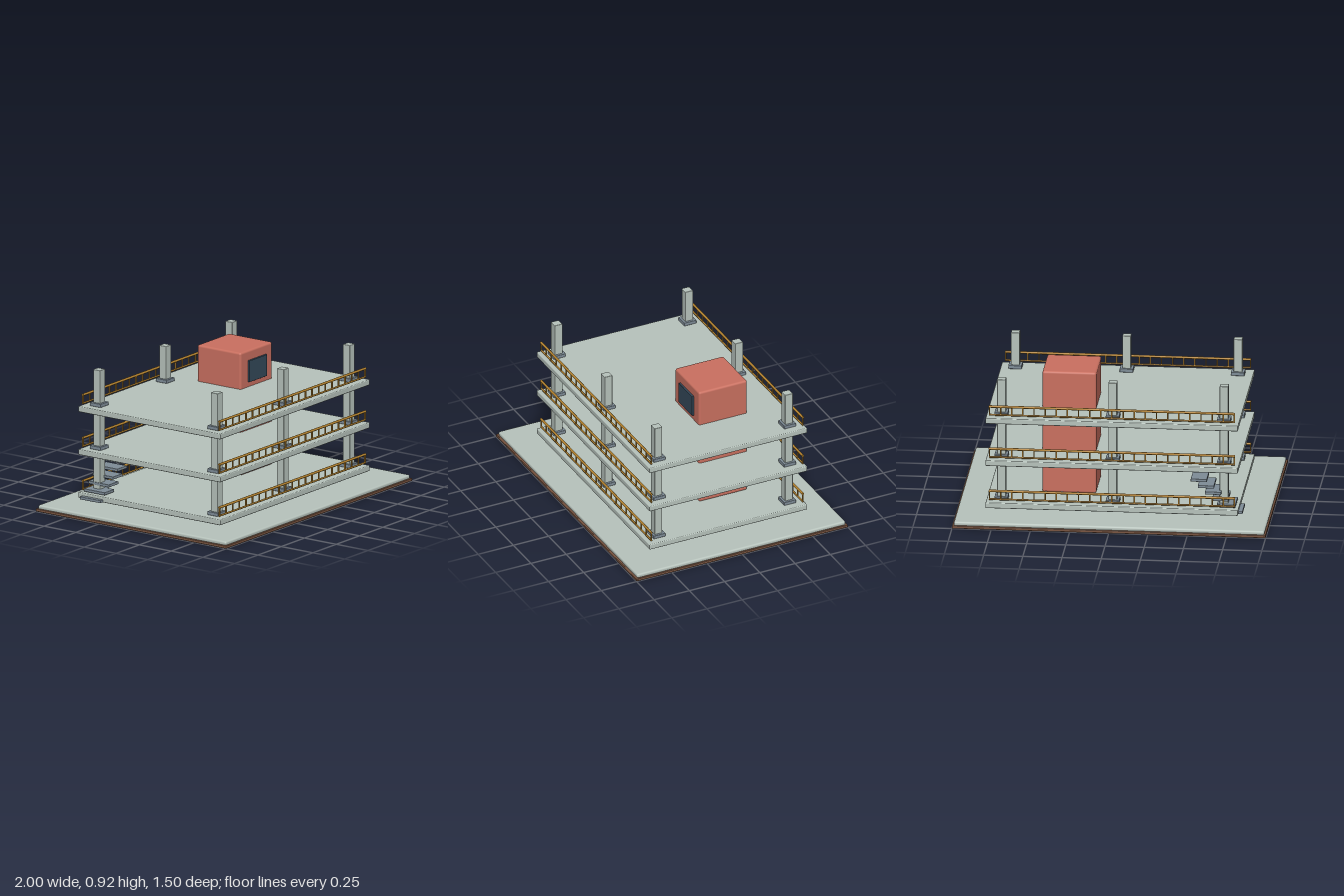
import * as THREE from 'three';
import { RoundedBoxGeometry } from 'three/addons/geometries/RoundedBoxGeometry.js';

function mat(name, color) {
  const m = new THREE.MeshStandardMaterial({ color });
  m.name = name;
  return m;
}

export function createModel() {
  const concrete = mat('pale concrete', 0xb7c3bc);
  const slate = mat('slate grey', 0x7f8d98);
  const brick = mat('brick red', 0xca7060);
  const glass = mat('dark blue', 0x34495a);
  const brass = mat('brass', 0xb5832f);
  const earth = mat('earth brown', 0x7a5540);

  const model = new THREE.Group();
  model.name = 'parkingDeck';

  // box given by its centre in x and z, and its bottom in y
  function box(parent, name, material, [w, h, d], [x, y, z], r = 0) {
    const geo = r ? new RoundedBoxGeometry(w, h, d, 2, r) : new THREE.BoxGeometry(w, h, d);
    const mesh = new THREE.Mesh(geo, material);
    mesh.name = name;
    mesh.position.set(x, y + h / 2, z);
    parent.add(mesh);
    return mesh;
  }

  // ground plate
  box(model, 'groundEdge', earth, [2, 0.018, 1.5], [0, 0, 0], 0.004);
  box(model, 'groundSlab', concrete, [1.98, 0.03, 1.48], [0, 0.012, 0], 0.012);

  // railing running along x: two round bars and thin posts
  const half = 0.785;
  function railing(parent, y, z) {
    const rail = new THREE.Group();
    rail.name = 'railing';
    rail.position.set(0, y, z);
    for (const [name, h, r] of [['topRail', 0.073, 0.008], ['bottomRail', 0.018, 0.006]]) {
      const bar = new THREE.Mesh(new THREE.CylinderGeometry(r, r, half * 2, 10), brass);
      bar.name = name;
      bar.rotation.z = Math.PI / 2;
      bar.position.y = h;
      rail.add(bar);
    }
    const gaps = 22;
    for (let i = 0; i <= gaps; i++) {
      const x = (half - 0.004) * (2 * i / gaps - 1);
      box(rail, 'railPost', brass, [0.008, 0.06, 0.008], [x, 0.014, 0]);
    }
    parent.add(rail);
  }

  // three identical floors
  for (let f = 0; f < 3; f++) {
    const floor = new THREE.Group();
    floor.name = 'floor' + (f + 1);
    floor.position.y = 0.078 + f * 0.283;
    const top = 0.037;
    box(floor, 'floorSlab', concrete, [1.61, top, 1.12], [0, 0, 0], 0.006);
    for (const z of [-0.463, 0.463]) {
      for (const x of [-0.71, 0, 0.71]) {
        box(floor, 'column', concrete, [0.055, 0.239, 0.055], [x, top, z], 0.004);
        box(floor, 'columnBase', slate, [0.086, 0.023, 0.086], [x, top, z], 0.003);
      }
    }
    for (const z of [-0.537, 0.537]) railing(floor, top, z);
    // door panel on the front of the core
    box(floor, 'liftDoor', glass, [0.19, 0.141, 0.016], [0.297, 0.07, 0.046], 0.002);
    model.add(floor);
  }

  // lift core
  box(model, 'liftCore', brick, [0.344, 0.81, 0.343], [0.295, 0.11, -0.131], 0.014);

  // floating steps climbing at the back
  for (let i = 0; i < 6; i++) {
    box(model, 'step', slate, [0.103, 0.018, 0.163], [-0.78 + 0.0455 * i, 0.079 + 0.0417 * i, -0.445], 0.002);
  }

  return model;
}
